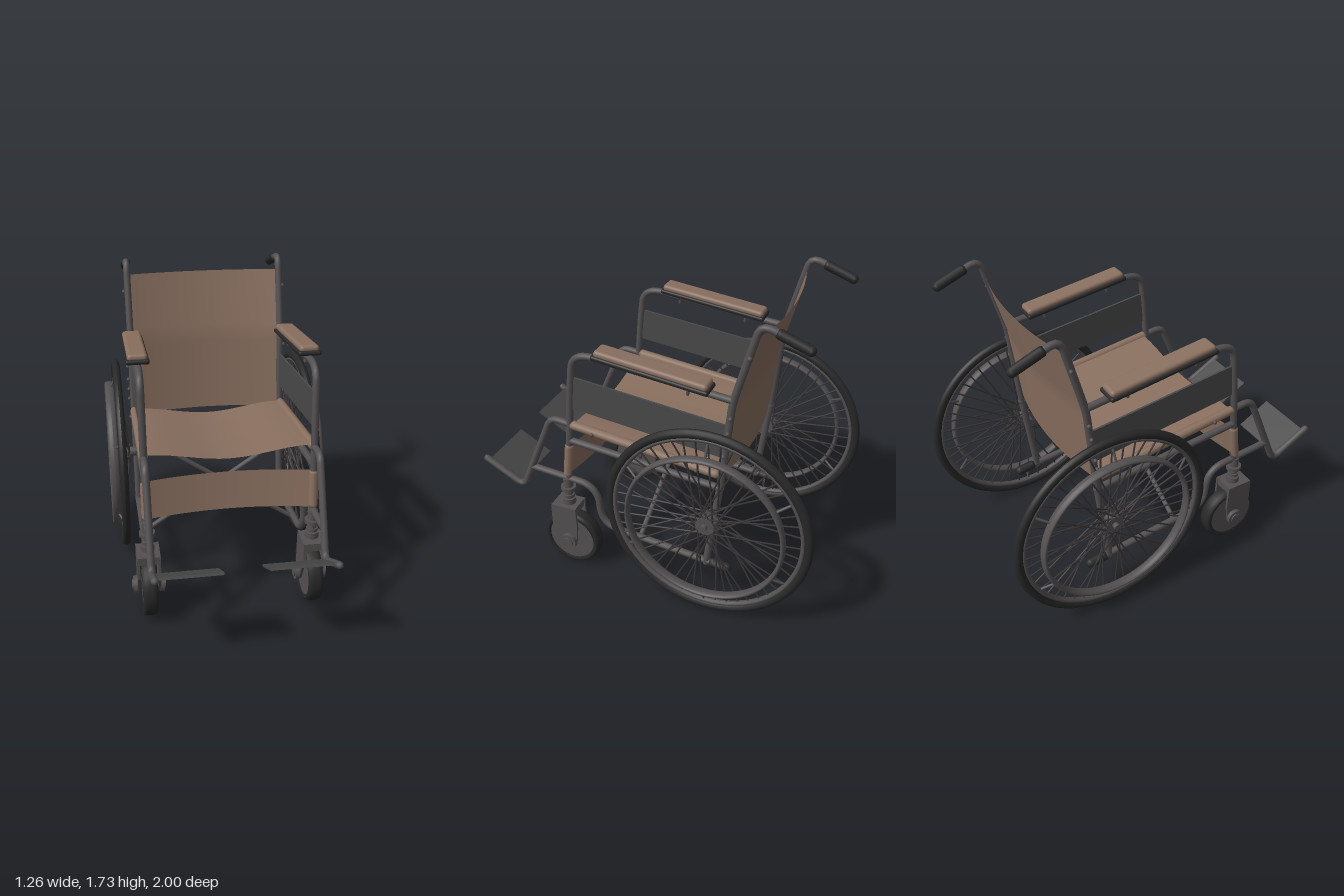
import * as THREE from 'three';
import { mergeGeometries } from 'three/addons/utils/BufferGeometryUtils.js';
import { RoundedBoxGeometry } from 'three/addons/geometries/RoundedBoxGeometry.js';

const V = (x, y, z) => new THREE.Vector3(x, y, z);
function material(name, color) {
  const m = new THREE.MeshStandardMaterial({ color });
  m.name = name;
  return m;
}

// Tube through points with rounded corners and round ends
function tubeGeometry(pts, r, bend = 0.06, sides = 10) {
  const path = new THREE.CurvePath();
  let from = pts[0];
  for (let i = 1; i < pts.length - 1; i++) {
    const p = pts[i];
    const a = p.clone().lerp(pts[i - 1], Math.min(0.48, bend / p.distanceTo(pts[i - 1])));
    const b = p.clone().lerp(pts[i + 1], Math.min(0.48, bend / p.distanceTo(pts[i + 1])));
    path.add(new THREE.LineCurve3(from, a));
    path.add(new THREE.QuadraticBezierCurve3(a, p, b));
    from = b;
  }
  path.add(new THREE.LineCurve3(from, pts[pts.length - 1]));
  const ends = [pts[0], pts[pts.length - 1]].map(p =>
    new THREE.SphereGeometry(r, sides, 6).translate(p.x, p.y, p.z));
  return mergeGeometries([new THREE.TubeGeometry(path, pts.length > 2 ? 70 : 1, r, sides), ...ends]);
}

// Straight cylinder between two points
function rodGeometry(a, b, r, sides = 5) {
  const d = b.clone().sub(a);
  const g = new THREE.CylinderGeometry(r, r, d.length(), sides);
  g.applyQuaternion(new THREE.Quaternion().setFromUnitVectors(V(0, 1, 0), d.normalize()));
  const c = a.clone().add(b).multiplyScalar(0.5);
  return g.translate(c.x, c.y, c.z);
}

// Ring with an elliptical section, turning about the x axis
function ringGeometry(radius, radial, half, segs = 64) {
  const pts = [];
  for (let i = 0; i <= 12; i++) {
    const t = i / 12 * Math.PI * 2;
    pts.push(new THREE.Vector2(radius + radial * Math.cos(t), half * Math.sin(t)));
  }
  return new THREE.LatheGeometry(pts, segs).rotateZ(-Math.PI / 2);
}

// Drum about the x axis
const drumGeometry = (r, w, segs = 28) => new THREE.CylinderGeometry(r, r, w, segs).rotateZ(-Math.PI / 2);

// Thin plate standing in the z-y plane, centred on x
function plateGeometry(zy, x, thick) {
  const shape = new THREE.Shape(zy.map(p => new THREE.Vector2(p[0], p[1])));
  return new THREE.ExtrudeGeometry(shape, { depth: thick, bevelEnabled: false })
    .rotateY(-Math.PI / 2).translate(x + thick / 2, 0, 0);
}

// Cloth sheet shaped by a rule from u (-1..1 across) and v (0..1 along)
function clothGeometry(rule, rows) {
  const g = new THREE.PlaneGeometry(2, 1, 20, rows);
  const p = g.attributes.position;
  for (let i = 0; i < p.count; i++) p.setXYZ(i, ...rule(p.getX(i), p.getY(i) + 0.5));
  g.computeVertexNormals();
  return g;
}

export function createModel() {
  const root = new THREE.Group();
  root.name = 'wheelchair';
  const fabric = material('brown fabric', 0x8a7060);
  fabric.side = THREE.DoubleSide;
  const steel = material('dark steel', 0x545051);
  const rubber = material('black rubber', 0x282828);
  const panel = material('grey panel', 0x4a4a4a);
  const spokeMat = material('spoke metal', 0x3a3637);
  const add = (parent, name, geometry, mat) => {
    const m = new THREE.Mesh(geometry, mat);
    m.name = name;
    parent.add(m);
    return m;
  };
  const X = 0.457;
  const sag = u => 0.5 + 0.5 * Math.cos(Math.PI * u);

  // Fabric: seat, backrest and calf strap
  add(root, 'seat', clothGeometry((u, v) =>
    [u * 0.445, 0.86 + 0.095 * v - 0.05 * sag(u), -0.44 + 0.83 * v], 6), fabric);
  const backZ = y => y > 1.29 ? -0.51 - (y - 1.29) * 0.27 : -0.45 - (y - 0.82) * 0.128;
  add(root, 'backrest', clothGeometry((u, v) => {
    const y = 0.82 + 0.835 * v;
    return [u * 0.45, y - 0.006 * (1 - u * u) * v, backZ(y) - 0.055 * (1 - u * u)];
  }, 16), fabric);
  add(root, 'calfStrap', clothGeometry((u, v) =>
    [u * 0.455, 0.605 + 0.21 * v, 0.452 - 0.035 * v - 0.05 * (1 - u * u)], 2), fabric);

  // Folding cross brace
  for (const s of [-1, 1]) {
    const z = s * 0.018;
    add(root, 'crossBrace', tubeGeometry([V(-s * 0.44, 0.29, 0.03 + z), V(s * 0.44, 0.87, z)], 0.014), steel);
  }
  add(root, 'bracePivot', rodGeometry(V(0, 0.58, -0.03), V(0, 0.58, 0.055), 0.016, 12), steel);

  for (const s of [-1, 1]) {
    const side = new THREE.Group();
    side.name = s > 0 ? 'leftSide' : 'rightSide';
    root.add(side);
    const x = s * X;
    const pipe = (name, zy, r = 0.02, mat = steel, bend = 0.06) =>
      add(side, name, tubeGeometry(zy.map(p => V(x, p[1], p[0])), r, bend), mat);

    // Frame tubes, listed as z, y
    pipe('backPost', [[-0.86, 1.65], [-0.625, 1.735], [-0.505, 1.29], [-0.455, 0.76], [-0.39, 0.24]]);
    pipe('pushGrip', [[-0.865, 1.645], [-0.72, 1.70]], 0.027, rubber);
    pipe('armFrame', [[-0.50, 1.305], [0.37, 1.4], [0.395, 1.2], [0.45, 0.5]], 0.02, steel, 0.13);
    pipe('seatRail', [[-0.45, 0.845], [0.53, 0.965], [0.745, 0.45], [0.985, 0.58]], 0.02, steel, 0.05);
    pipe('seatSleeve', [[-0.43, 0.85], [0.39, 0.948]], 0.026, fabric);
    pipe('lowerRail', [[-0.46, 0.765], [0.41, 0.845]]);
    pipe('strapSleeve', [[0.447, 0.62], [0.427, 0.8]], 0.026, fabric);
    pipe('bottomTube', [[0.68, 0.605], [0.27, 0.57], [0.245, 0.315], [-0.45, 0.245]], 0.02, steel, 0.11);
    pipe('bottomTubeTip', [[-0.43, 0.247], [-0.51, 0.238]], 0.028, rubber);

    // Side panel and its bolts
    add(side, 'sidePanel', plateGeometry([[0.375, 1.25], [-0.485, 1.155], [-0.455, 0.96], [0.405, 1.06]], x, 0.012), panel);
    for (const y of [0.92, 0.98, 1.04, 1.12, 1.21, 1.56])
      add(side, 'postBolt', new THREE.SphereGeometry(0.012, 8, 6).translate(s * 0.481, y, backZ(y) - 0.004), steel);
    for (const z of [0.27, -0.33])
      add(side, 'railBolt', new THREE.SphereGeometry(0.012, 8, 6).translate(s * 0.482, 0.897 + z * 0.12, z), steel);

    // Armrest pad on a black base
    const arm = new THREE.Group();
    arm.name = 'armrest';
    arm.position.set(x, 1.378, -0.078);
    arm.rotation.x = -0.12;
    side.add(arm);
    add(arm, 'armBase', new RoundedBoxGeometry(0.125, 0.026, 0.64, 3, 0.012), rubber);
    add(arm, 'armPad', new RoundedBoxGeometry(0.107, 0.04, 0.62, 4, 0.019).translate(0, 0.022, 0), fabric);
    for (const z of [-0.2, 0.21])
      add(arm, 'armBolt', new THREE.CylinderGeometry(0.009, 0.009, 0.03, 8).translate(0, -0.055, z), steel);

    // Footplate
    const foot = add(side, 'footplate', new THREE.BoxGeometry(0.33, 0.014, 0.225), panel);
    foot.position.set(s * 0.28, 0.522, 0.868);
    foot.rotation.x = -0.51;

    // Rear wheel
    const wheel = new THREE.Group();
    wheel.name = 'rearWheel';
    wheel.position.set(s * 0.555, 0.583, -0.417);
    side.add(wheel);
    add(wheel, 'tyre', ringGeometry(0.552, 0.026, 0.024), rubber);
    add(wheel, 'rim', ringGeometry(0.525, 0.014, 0.017), steel);
    const pushRim = add(wheel, 'pushRim', ringGeometry(0.432, 0.013, 0.028), steel);
    pushRim.position.x = s * 0.046;
    add(wheel, 'hub', drumGeometry(0.028, 0.13).translate(-s * 0.045, 0, 0), steel);
    for (const hx of [-0.055, 0.015])
      add(wheel, 'hubFlange', drumGeometry(0.052, 0.01).translate(s * hx, 0, 0), steel);
    add(wheel, 'axleCap', drumGeometry(0.018, 0.03, 12).translate(s * 0.032, 0, 0), steel);

    // Crossed spokes, alternating between the two flanges
    const polar = (px, r, a) => V(px, r * Math.sin(a), r * Math.cos(a));
    const spokes = [];
    const count = 48;
    for (let i = 0; i < count; i++) {
      const a = i / count * Math.PI * 2;
      const turn = (i % 4 < 2 ? 1 : -1) * 1.15;
      spokes.push(rodGeometry(polar(s * (i % 2 ? -0.055 : 0.015), 0.046, a + turn), polar(0, 0.52, a), 0.005));
    }
    add(wheel, 'spokes', mergeGeometries(spokes), spokeMat);
    const stays = [];
    for (let i = 0; i < 6; i++) {
      const a = (i + 0.5) / 6 * Math.PI * 2;
      stays.push(rodGeometry(polar(0, 0.52, a), polar(s * 0.04, 0.432, a), 0.007, 6));
    }
    add(wheel, 'pushRimStays', mergeGeometries(stays), steel);

    // Front caster
    const caster = new THREE.Group();
    caster.name = 'caster';
    caster.position.set(x, 0.181, 0.434);
    side.add(caster);
    const tread = [[0.14, -0.036], [0.156, -0.042], [0.168, -0.036], [0.174, -0.02], [0.174, 0.02],
      [0.168, 0.036], [0.156, 0.042], [0.14, 0.036], [0.14, -0.036]].map(p => new THREE.Vector2(...p));
    add(caster, 'casterTyre', new THREE.LatheGeometry(tread, 40).rotateZ(-Math.PI / 2), rubber);
    add(caster, 'casterDisc', drumGeometry(0.152, 0.07, 40), steel);
    for (const e of [-1, 1]) {
      add(caster, 'forkPlate', plateGeometry([[0.105, 0.225], [-0.05, 0.235], [-0.055, 0.1], [-0.045, 0],
        [-0.025, -0.038], [0.02, -0.042], [0.045, -0.01], [0.075, 0.06], [0.105, 0.1]], e * 0.057, 0.014), steel);
      add(caster, 'casterHub', drumGeometry(0.05, 0.024).translate(e * 0.074, 0, 0), steel);
      add(caster, 'casterNut', drumGeometry(0.032, 0.01, 16).translate(e * 0.088, 0, 0), steel);
    }
    add(caster, 'forkCrown', new THREE.BoxGeometry(0.128, 0.045, 0.15).translate(0, 0.212, 0.028), steel);
    const collar = (name, r, y, h) =>
      add(caster, name, new THREE.CylinderGeometry(r, r, h, 20).translate(0, y, 0.018), steel);
    collar('forkBearing', 0.038, 0.25, 0.04);
    collar('stem', 0.024, 0.32, 0.14);
    collar('lowerCollar', 0.032, 0.285, 0.02);
    collar('upperCollar', 0.044, 0.337, 0.022);
    collar('stemSleeve', 0.028, 0.375, 0.06);
  }
  return root;
}
